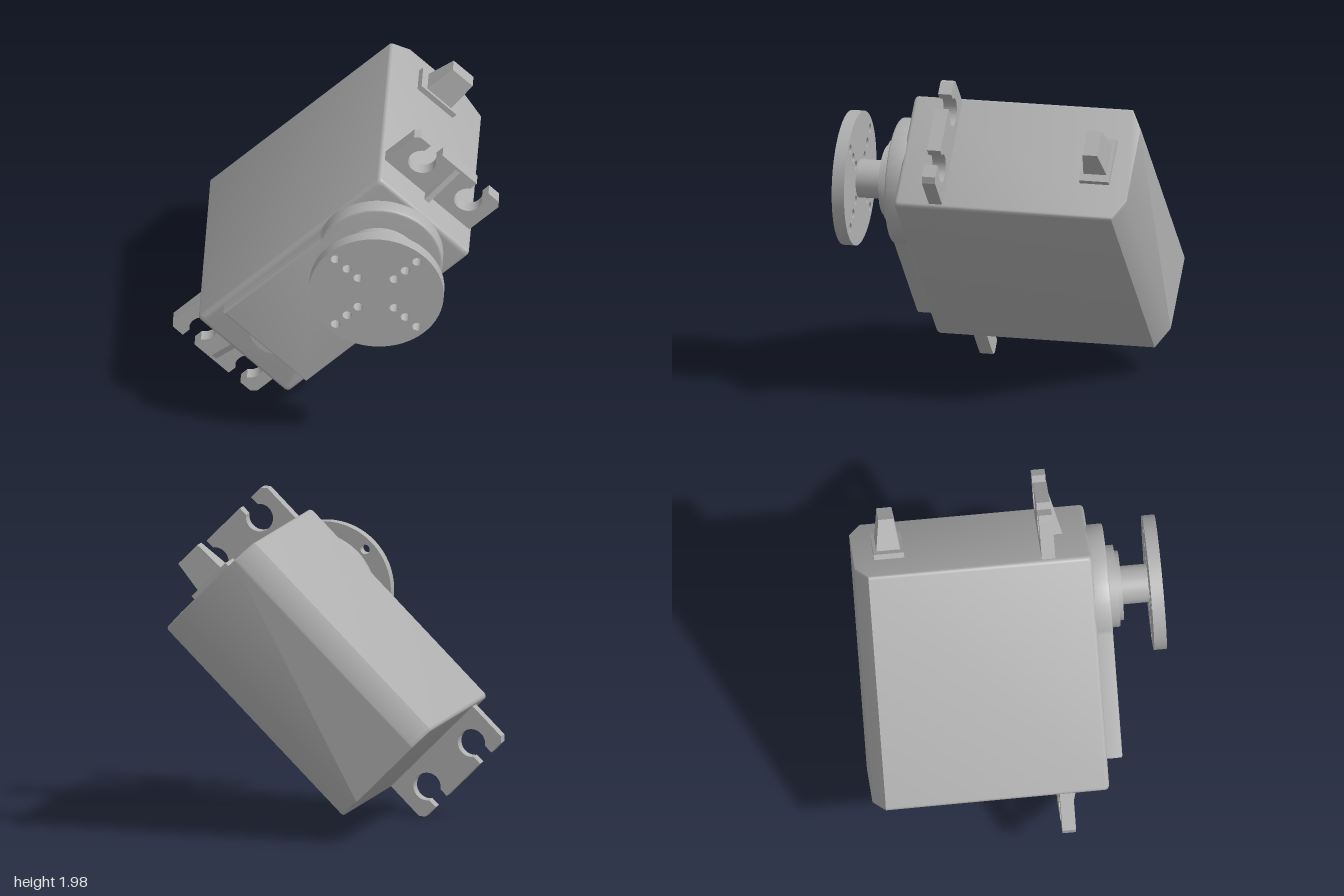
import * as THREE from 'three';
import { toCreasedNormals } from 'three/addons/utils/BufferGeometryUtils.js';

const L = 1.57, W = 0.778;      // case length and width
const FRONT = 0.55;             // front face of the case
const SHAFT_X = 0.397;          // output shaft position along the case

export function createModel() {
  const grey = new THREE.MeshStandardMaterial({ color: 0xb0b0b0 });
  grey.name = 'grey';
  const model = new THREE.Group();
  model.name = 'servoMotor';

  const add = (name, geo, parent = model) => {
    const mesh = new THREE.Mesh(geo, grey);
    mesh.name = name;
    parent.add(mesh);
    return mesh;
  };

  // extrude a shape along z from z0 to z1, with an optional rounded rim
  const slab = (shape, z0, z1, bevel = 0) => {
    const geo = new THREE.ExtrudeGeometry(shape, {
      depth: z1 - z0 - 2 * bevel, curveSegments: 32, bevelEnabled: bevel > 0,
      bevelSize: bevel, bevelOffset: -bevel, bevelThickness: bevel, bevelSegments: 3,
    });
    geo.translate(0, 0, z0 + bevel);
    return toCreasedNormals(geo, 0.6);
  };

  // cylinder along z from z0 to z1
  const disc = (x, r, z0, z1) => {
    const geo = new THREE.CylinderGeometry(r, r, z1 - z0, 48);
    geo.rotateX(Math.PI / 2);
    geo.translate(x, 0, (z0 + z1) / 2);
    return geo;
  };

  // rounded rectangle ring, counter-clockwise
  const ring = (hx, hy, r, z) => {
    const pts = [];
    [[1, 1], [-1, 1], [-1, -1], [1, -1]].forEach(([sx, sy], q) => {
      for (let i = 0; i <= 4; i++) {
        const t = (q + i / 4) * Math.PI / 2;
        pts.push([sx * (hx - r) + r * Math.cos(t), sy * (hy - r) + r * Math.sin(t), z]);
      }
    });
    return pts;
  };

  // skin between rings running from back to front, with end caps
  const loft = (rings) => {
    const n = rings[0].length, index = [];
    for (let k = 0; k < rings.length - 1; k++) {
      for (let i = 0; i < n; i++) {
        const a = k * n + i, b = k * n + (i + 1) % n;
        index.push(a, b, b + n, a, b + n, a + n);
      }
    }
    const last = (rings.length - 1) * n;
    for (let i = 1; i < n - 1; i++) {
      index.push(0, i + 1, i, last, last + i, last + i + 1);
    }
    const geo = new THREE.BufferGeometry();
    geo.setAttribute('position', new THREE.Float32BufferAttribute(rings.flat(2), 3));
    geo.setIndex(index);
    return toCreasedNormals(geo, 0.6);
  };

  // case: long sides chamfered at the back, softened rim at the front
  const rings = [
    ring(L / 2, W / 2 - 0.135, 0.02, -0.885),
    ring(L / 2, W / 2, 0.02, -0.812),
  ];
  for (let i = 0; i <= 3; i++) {
    const t = i / 3 * Math.PI / 2, f = 0.025;
    const inset = f * (1 - Math.cos(t));
    rings.push(ring(L / 2 - inset, W / 2 - inset, 0.026, FRONT - f + f * Math.sin(t)));
  }
  add('case', loft(rings));

  // raised gear cover: rectangle running into a round boss
  const cover = new THREE.Shape();
  const R = 0.385, H = 0.355, t0 = Math.PI - Math.asin(0.335 / R);
  cover.moveTo(-0.585, -H);
  cover.lineTo(0.15, -H);
  cover.quadraticCurveTo(0.2, -H, SHAFT_X + R * Math.cos(t0 - 0.12), -R * Math.sin(t0 - 0.12));
  cover.absarc(SHAFT_X, 0, R, -t0 + 0.12, t0 - 0.12, false);
  cover.quadraticCurveTo(0.2, H, 0.15, H);
  cover.lineTo(-0.585, H);
  cover.closePath();
  add('gearCover', slab(cover, FRONT - 0.04, 0.645, 0.012));
  add('coverRound', disc(-0.475, 0.17, FRONT - 0.03, 0.59));

  // output shaft and its collars
  add('outerCollar', disc(SHAFT_X, 0.25, 0.63, 0.699));
  add('innerCollar', disc(SHAFT_X, 0.212, 0.69, 0.725));
  add('shaft', disc(SHAFT_X, 0.117, 0.71, 0.9));

  // round horn with a cross of through holes
  const horn = new THREE.Shape();
  horn.absarc(0, 0, 0.41, 0, Math.PI * 2, false);
  for (let q = 0; q < 4; q++) {
    for (const d of [0.155, 0.25, 0.35]) {
      const t = q * Math.PI / 2;
      const hole = new THREE.Path();
      hole.absarc(d * Math.cos(t), d * Math.sin(t), 0.029, 0, Math.PI * 2, true);
      horn.holes.push(hole);
    }
  }
  add('horn', slab(horn, 0.89, 0.967)).position.x = SHAFT_X;

  // mounting lugs: two open screw slots and a gusset at each end
  const lug = new THREE.Shape();
  const E = 1.065, s = 0.629;
  lug.moveTo(0.77, -0.362);
  lug.lineTo(E - 0.03, -0.362);
  lug.lineTo(E, -0.332);
  for (const y of [-0.197, 0.197]) {
    lug.lineTo(E, y - 0.05);
    lug.absarc(0.94, y, 0.085, -s, s, true);
    lug.lineTo(E, y + 0.05);
  }
  lug.lineTo(E, 0.332);
  lug.lineTo(E - 0.03, 0.362);
  lug.lineTo(0.77, 0.362);
  lug.closePath();
  const gusset = new THREE.Shape([
    new THREE.Vector2(0.77, 0.32), new THREE.Vector2(1.045, 0.32),
    new THREE.Vector2(1.045, 0.332), new THREE.Vector2(0.77, 0.4),
  ]);
  for (const [name, turn] of [['upperLug', 0], ['lowerLug', Math.PI]]) {
    const end = new THREE.Group();
    end.name = name;
    end.rotation.z = turn;
    add('lugPlate', slab(lug, 0.247, 0.33), end);
    const rib = slab(gusset, -0.018, 0.018);
    rib.rotateX(Math.PI / 2);
    add('lugGusset', rib, end);
    model.add(end);
  }

  // cable outlet: base pad and tapered strain relief
  const pad = new THREE.BoxGeometry(0.06, 0.3, 0.185);
  pad.translate(0.79, 0, -0.668);
  add('cablePad', pad);
  const relief = new THREE.BoxGeometry(0.22, 0.17, 0.092);
  const p = relief.attributes.position;
  for (let i = 0; i < p.count; i++) {
    if (p.getX(i) < 0) p.setXYZ(i, p.getX(i), p.getY(i) * 1.22, p.getZ(i) * 1.63);
  }
  relief.computeVertexNormals();
  relief.translate(0.91, 0, -0.668);
  add('cableRelief', relief);

  // tilt the whole servo
  model.rotation.set(0, THREE.MathUtils.degToRad(10), Math.PI / 4, 'YXZ');
  model.position.set(-0.044, 1, 0.008);
  const root = new THREE.Group();
  root.name = 'servo';
  root.add(model);
  return root;
}
